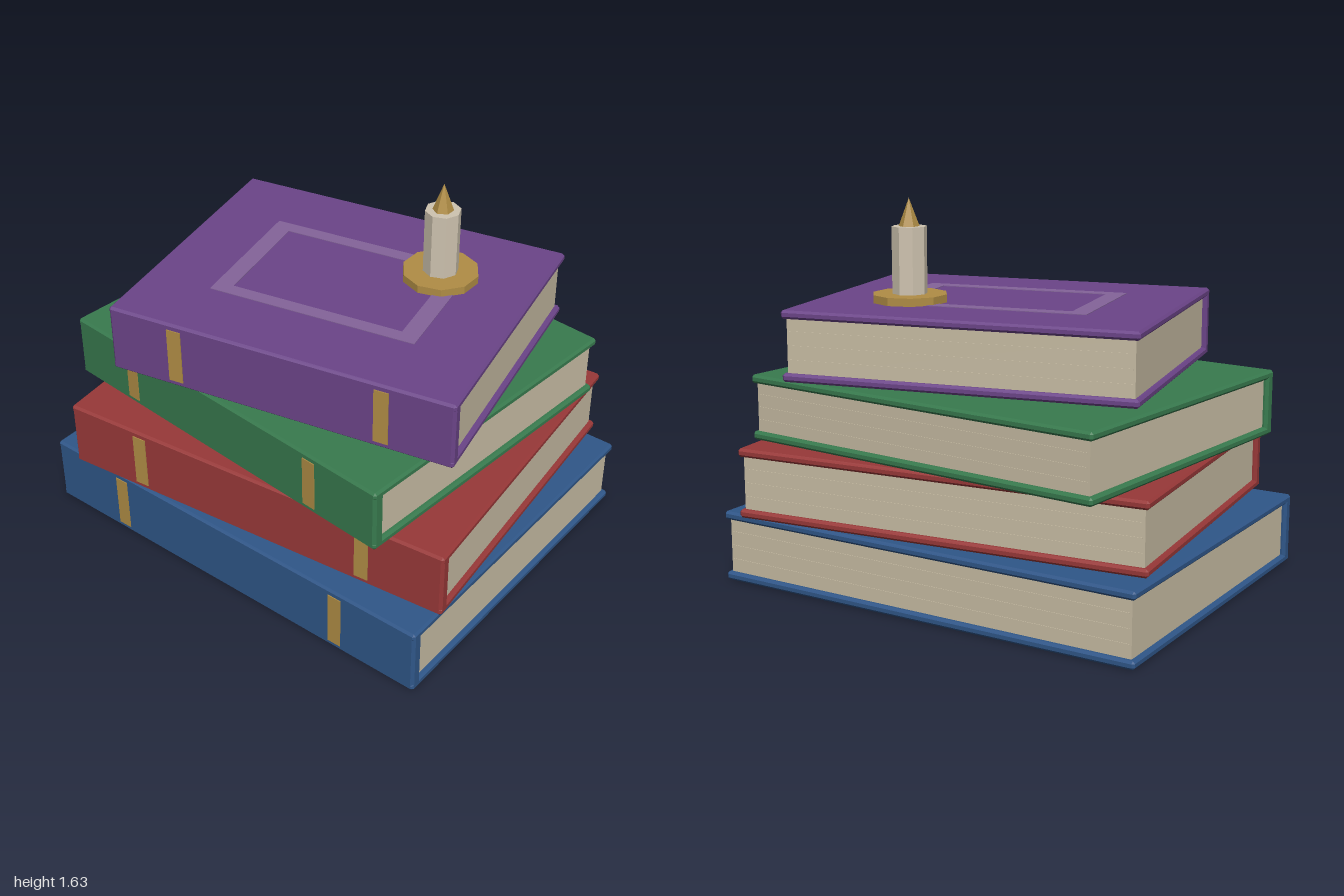
import * as THREE from 'three';
import { ConvexGeometry } from 'three/addons/geometries/ConvexGeometry.js';

const material = (name, color, flatShading = true) => {
  const m = new THREE.MeshStandardMaterial({ color });
  m.name = name;
  m.flatShading = flatShading;
  return m;
};

// Box with flat chamfers along every edge
function chamferBox(w, h, d, c) {
  const points = [];
  for (const x of [-1, 1]) for (const y of [-1, 1]) for (const z of [-1, 1]) {
    const [a, b, e] = [w / 2, h / 2, d / 2];
    points.push(
      new THREE.Vector3(x * a, y * (b - c), z * (e - c)),
      new THREE.Vector3(x * (a - c), y * b, z * (e - c)),
      new THREE.Vector3(x * (a - c), y * (b - c), z * e));
  }
  return new ConvexGeometry(points);
}

function add(parent, name, geometry, mat, x = 0, y = 0, z = 0) {
  const mesh = new THREE.Mesh(geometry, mat);
  mesh.name = name;
  mesh.position.set(x, y, z);
  parent.add(mesh);
  return mesh;
}

export function createModel() {
  const model = new THREE.Group();
  model.name = 'bookStackWithCandle';

  const gold = material('gold', 0xb08d45);
  const paper = material('paper', 0xc8bda4);
  const wax = material('wax', 0xcfc4b0);
  const lilac = material('lilac', 0x84649a);

  const COVER = 0.036, SPINE = 0.055, INSET = 0.02;

  // A closed book: spine at +z, resting on its back cover
  function book(name, mat, { w, d, h, x, y, z, turn }) {
    const g = new THREE.Group();
    g.name = name;
    g.position.set(x, y, z);
    g.rotation.y = turn;

    const cover = chamferBox(w, COVER, d, 0.01);
    add(g, 'bottomCover', cover, mat, 0, COVER / 2, 0);
    add(g, 'topCover', cover, mat, 0, h - COVER / 2, 0);
    add(g, 'spine', chamferBox(w, h, SPINE, 0.012), mat, 0, h / 2, (d - SPINE) / 2);

    // Page block, tucked inside the covers and spine
    const pw = w - 2 * INSET, pd = d - INSET - SPINE + 0.01, ph = h - 2 * COVER + 0.01;
    add(g, 'pages', new THREE.BoxGeometry(pw, ph, pd), paper, 0, h / 2, -d / 2 + INSET + pd / 2);

    // Fine page ridges on the fore edge
    for (const k of [-1, 0, 1]) {
      add(g, 'pageLine', new THREE.BoxGeometry(pw - 0.02, 0.005, 0.005), paper,
        0, h / 2 + k * ph / 4, -d / 2 + INSET);
    }
    // Gold bands on the spine
    for (const side of [-1, 1]) {
      add(g, 'spineBand', new THREE.BoxGeometry(0.063, h - 0.055, 0.008), gold,
        side * 0.3 * w, h / 2, d / 2);
    }
    model.add(g);
    return g;
  }

  book('blueBook', material('blue', 0x2f5688),
    { w: 1.97, d: 1.52, h: 0.306, x: -0.015, y: 0, z: 0, turn: 0 });
  book('redBook', material('red', 0x983838),
    { w: 1.83, d: 1.43, h: 0.3, x: 0.005, y: 0.31, z: -0.003, turn: 0.105 });
  book('greenBook', material('green', 0x387a4e),
    { w: 1.73, d: 1.41, h: 0.281, x: -0.043, y: 0.614, z: -0.035, turn: -0.087 });
  const top = book('purpleBook', material('purple', 0x6b4488),
    { w: 1.515, d: 1.206, h: 0.299, x: 0.037, y: 0.9, z: 0.016, turn: 0.21 });

  // Rectangular border inlaid on the uppermost cover
  const rectangle = (Kind, w, d) => new Kind([
    new THREE.Vector2(-w / 2, -d / 2), new THREE.Vector2(w / 2, -d / 2),
    new THREE.Vector2(w / 2, d / 2), new THREE.Vector2(-w / 2, d / 2)]);
  const frame = rectangle(THREE.Shape, 0.913, 0.607);
  frame.holes.push(rectangle(THREE.Path, 0.757, 0.49));
  const border = new THREE.ExtrudeGeometry(frame, { depth: 0.006, bevelEnabled: false });
  border.rotateX(-Math.PI / 2);
  add(top, 'coverBorder', border, lilac, 0, 0.296, 0);

  // Candle on its dish
  const candle = new THREE.Group();
  candle.name = 'candle';
  candle.position.set(0.34, 1.198, -0.253);
  add(candle, 'dish', new THREE.CylinderGeometry(0.162, 0.162, 0.035, 10), gold, 0, 0.0175, 0);
  add(candle, 'candleStick', new THREE.CylinderGeometry(0.075, 0.075, 0.285, 8), wax, 0, 0.1755, 0);
  add(candle, 'flame', new THREE.ConeGeometry(0.044, 0.118, 6), gold, 0, 0.377, 0);
  model.add(candle);

  return model;
}
